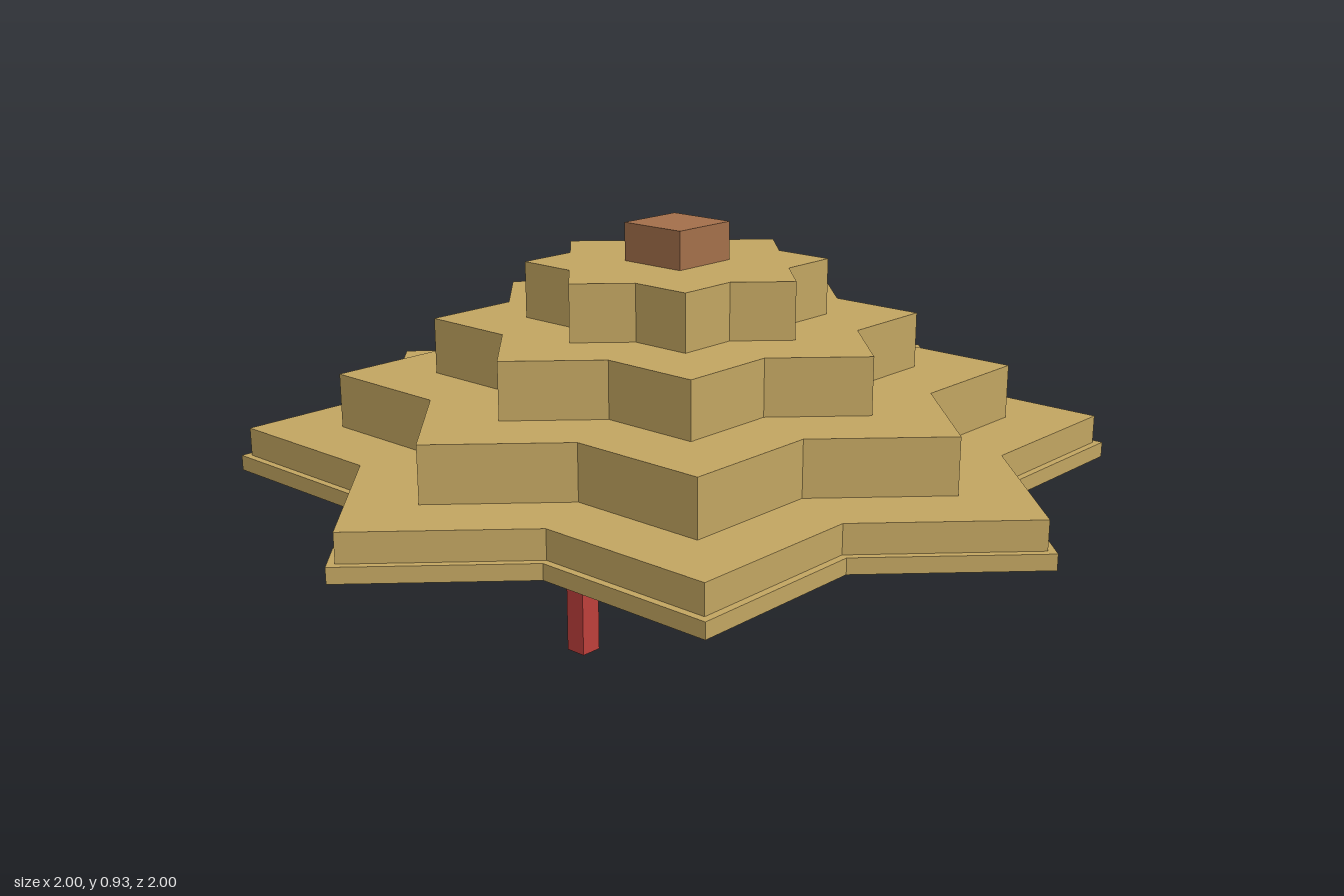
import * as THREE from 'three';

const material = (name, color) => {
  const m = new THREE.MeshStandardMaterial({ color });
  m.name = name;
  return m;
};

// Eight-pointed star made of two overlapping squares, standing between y0 and y1
function starPrism(radius, y0, y1) {
  const inner = radius * Math.SQRT1_2 / Math.cos(Math.PI / 8);
  const points = [];
  for (let i = 0; i < 16; i++) {
    const a = (i * Math.PI) / 8;
    const r = i % 2 ? inner : radius;
    points.push(new THREE.Vector2(r * Math.cos(a), r * Math.sin(a)));
  }
  const geometry = new THREE.ExtrudeGeometry(new THREE.Shape(points), { depth: y1 - y0, bevelEnabled: false });
  return geometry.rotateX(-Math.PI / 2).translate(0, y0, 0);
}

function block(width, y0, y1, x = 0) {
  return new THREE.BoxGeometry(width, y1 - y0, width).translate(x, (y0 + y1) / 2, 0);
}

export function createModel() {
  const model = new THREE.Group();
  model.name = 'steppedStar';
  const gold = material('gold', 0xc2a561);
  const brown = material('brown', 0xa36f4a);
  const red = material('red', 0xbd3f3b);

  const add = (name, geometry, mat) => {
    const mesh = new THREE.Mesh(geometry, mat);
    mesh.name = name;
    model.add(mesh);
  };

  // Rim and shrinking star tiers: radius, bottom, top
  const tiers = [
    ['rim', 1, 0.365, 0.4],
    ['tier1', 0.977, 0.4, 0.465],
    ['tier2', 0.767, 0.465, 0.59],
    ['tier3', 0.548, 0.59, 0.717],
    ['tier4', 0.341, 0.717, 0.845],
  ];
  for (const [name, r, y0, y1] of tiers) add(name, starPrism(r, y0, y1), gold);

  // Cap block on the top tier
  add('cap', block(0.166, 0.845, 0.932), brown);

  // Two square legs
  add('leftLeg', block(0.05, 0, 0.365, 0.315), red);
  add('rightLeg', block(0.05, 0, 0.365, -0.315), red);

  return model;
}
